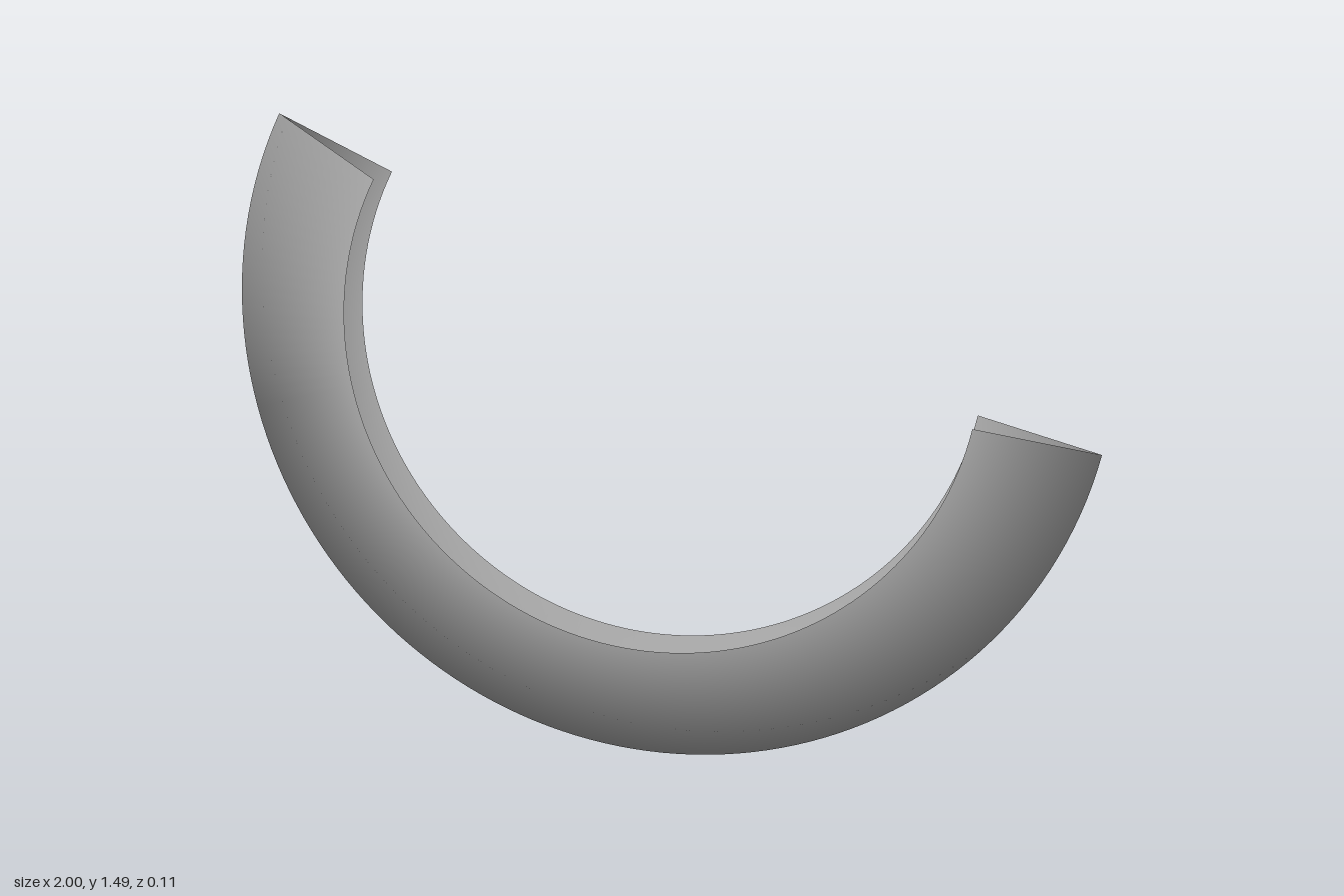
import * as THREE from 'three';

const OUTER = 1.009, INNER = 0.729, HALF_WIDTH = 0.056;

export function createModel() {
  const group = new THREE.Group();
  group.name = 'openRing';

  const grey = new THREE.MeshStandardMaterial({ color: 0xb0b0b0, side: THREE.DoubleSide });
  grey.name = 'grey';

  // V-shaped channel, open towards the ring's centre, smooth across the ridge
  const profile = [
    new THREE.Vector2(INNER, -HALF_WIDTH),
    new THREE.Vector2(OUTER, 0),
    new THREE.Vector2(INNER, HALF_WIDTH),
  ];

  // Partial sweep measured from the lowest point: short arm on the left, long arm on the right
  const start = THREE.MathUtils.degToRad(-118.2);
  const end = THREE.MathUtils.degToRad(78.9);
  const geometry = new THREE.LatheGeometry(profile, 96, start, end - start);
  geometry.rotateX(Math.PI / 2);
  geometry.translate(0.009, OUTER, 0);

  const channel = new THREE.Mesh(geometry, grey);
  channel.name = 'curvedChannel';
  group.add(channel);
  return group;
}
